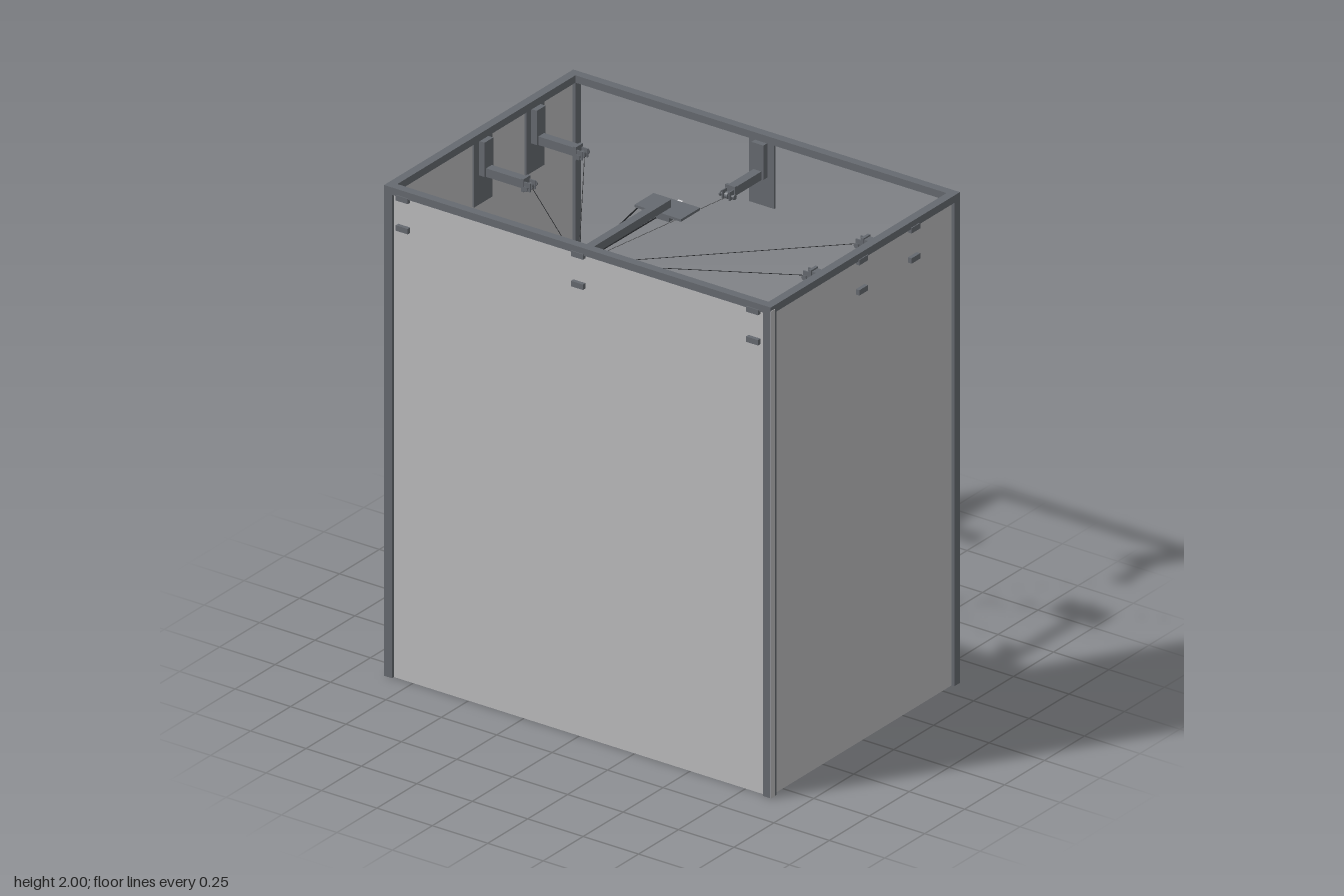
import * as THREE from 'three';

const mat = (name, color) => {
  const m = new THREE.MeshStandardMaterial({ color });
  m.name = name;
  return m;
};

export function createModel() {
  const frameMat = mat('frame grey', 0x666a70);
  const panelMat = mat('panel grey', 0xbcbcbe);
  const woodMat = mat('table brown', 0x958573);
  const bodyMat = mat('monitor dark', 0x484c52);
  const screenMat = mat('screen blue', 0x41526a);
  const whiteMat = mat('light fitting', 0xd8d8da);
  const cableMat = mat('cable black', 0x26282b);

  const model = new THREE.Group();
  model.name = 'workBooth';

  const add = (parent, name, geo, material, x = 0, y = 0, z = 0) => {
    const mesh = new THREE.Mesh(geo, material);
    mesh.name = name;
    mesh.position.set(x, y, z);
    parent.add(mesh);
    return mesh;
  };
  // Box given by its limits on each axis
  const box = (parent, name, material, [x0, x1], [y0, y1], [z0, z1]) =>
    add(parent, name, new THREE.BoxGeometry(x1 - x0, y1 - y0, z1 - z0), material,
      (x0 + x1) / 2, (y0 + y1) / 2, (z0 + z1) / 2);
  // Thin straight cable between two points
  const rod = (parent, name, a, b, r, material, sides = 6) => {
    const dir = b.clone().sub(a);
    const mesh = add(parent, name, new THREE.CylinderGeometry(r, r, dir.length(), sides), material);
    mesh.position.copy(a).add(b).multiplyScalar(0.5);
    mesh.quaternion.setFromUnitVectors(new THREE.Vector3(0, 1, 0), dir.normalize());
    return mesh;
  };

  // Frame: corner posts and top beams
  const W = 0.872, D = 0.592, T = 0.035, H = 2, B = 0.03;
  for (const sx of [-1, 1]) {
    for (const sz of [-1, 1])
      add(model, 'cornerPost', new THREE.BoxGeometry(T, H - B, T), frameMat,
        sx * (W - T / 2), (H - B) / 2, sz * (D - T / 2));
    add(model, 'sideBeam', new THREE.BoxGeometry(T, B, 2 * D), frameMat, sx * (W - T / 2), H - B / 2, 0);
    add(model, 'endBeam', new THREE.BoxGeometry(2 * (W - T), B, T), frameMat, 0, H - B / 2, sx * (D - T / 2));
  }

  // Walls on three sides, back left open
  const wx = W - T / 2, wz = D - T / 2;
  for (const sx of [-1, 1])
    add(model, 'sidePanel', new THREE.BoxGeometry(0.01, H - B, 2 * (D - T)), panelMat, sx * wx, (H - B) / 2, 0);
  add(model, 'frontPanel', new THREE.BoxGeometry(2 * (W - T), H - B, 0.01), panelMat, 0, (H - B) / 2, wz);
  box(model, 'cornerStrip', panelMat, [W, W + 0.002], [0, 1.985], [0.567, D]);

  // Table
  const table = new THREE.Group();
  table.name = 'table';
  model.add(table);
  box(table, 'tableTop', woodMat, [-0.81, 0.81], [0.75, 0.78], [-0.175, 0.555]);
  for (const x of [-0.755, 0.755])
    for (const z of [-0.1, 0.49])
      add(table, 'tableLeg', new THREE.BoxGeometry(0.045, 0.75, 0.045), frameMat, x, 0.375, z);

  // Monitor, screen towards the open back
  const monitor = new THREE.Group();
  monitor.name = 'monitor';
  model.add(monitor);
  box(monitor, 'monitorBody', bodyMat, [-0.322, 0.322], [0.81, 1.185], [0.364, 0.39]);
  box(monitor, 'screen', screenMat, [-0.318, 0.318], [0.814, 1.181], [0.36, 0.364]);
  for (const x of [-0.15, 0.15])
    box(monitor, 'monitorFoot', bodyMat, [x - 0.03, x + 0.03], [0.78, 0.81], [0.366, 0.388]);

  // Cable mounts: [x, z, turn], each built facing +z and turned inward
  const mounts = [
    [0, -wz, 0],
    [-0.79, wz, Math.PI], [0, wz, Math.PI], [0.79, wz, Math.PI],
    [-wx, -0.312, Math.PI / 2], [-wx, 0.015, Math.PI / 2],
    [wx, -0.312, -Math.PI / 2], [wx, 0.015, -Math.PI / 2],
  ];
  const hub = new THREE.Vector3(-0.4, 1.59, 0.03);
  for (const [x, z, turn] of mounts) {
    const m = new THREE.Group();
    m.name = 'cableMount';
    m.position.set(x, 0, z);
    m.rotation.y = turn;
    model.add(m);
    box(m, 'mountPlate', frameMat, [-0.057, 0.057], [1.71, 1.97], [0.006, 0.014]);
    box(m, 'mountFlange', frameMat, [-0.027, 0.027], [1.83, 1.97], [0.014, 0.04]);
    for (const y of [1.842, 1.965])
      box(m, 'clampTab', frameMat, [-0.027, 0.027], [y - 0.011, y + 0.011], [-0.021, 0.014]);
    if (turn === 0) box(m, 'clampBack', frameMat, [-0.027, 0.027], [1.9, 1.965], [-0.022, -0.018]);
    box(m, 'arm', frameMat, [-0.018, 0.018], [1.827, 1.862], [0.04, 0.21]);
    box(m, 'armHead', frameMat, [-0.022, 0.022], [1.815, 1.868], [0.2, 0.212]);
    for (const s of [-1, 1])
      add(m, 'pulleyCheek', new THREE.BoxGeometry(0.005, 0.035, 0.03), frameMat, s * 0.016, 1.838, 0.224);
    for (const [name, r, len] of [['axle', 0.005, 0.066], ['pulley', 0.014, 0.012]])
      add(m, name, new THREE.CylinderGeometry(r, r, len, 16), frameMat, 0, 1.835, 0.226).rotation.z = Math.PI / 2;
    for (const s of [-1, 1])
      add(m, 'axleNut', new THREE.CylinderGeometry(0.011, 0.011, 0.005, 6), frameMat,
        s * 0.031, 1.835, 0.226).rotation.z = Math.PI / 2;

    const tip = new THREE.Vector3(0, 1.83, 0.235)
      .applyAxisAngle(new THREE.Vector3(0, 1, 0), turn).add(new THREE.Vector3(x, 0, z));
    rod(model, 'cable', hub, tip, 0.0013, cableMat, 5);
  }

  // Overhead arm with control plate
  const overhead = new THREE.Group();
  overhead.name = 'overheadArm';
  model.add(overhead);
  box(overhead, 'overheadBeam', frameMat, [-0.017, 0.017], [1.94, 1.972], [0.03, 0.56]);
  box(overhead, 'controlPlate', frameMat, [-0.105, 0.105], [1.93, 1.94], [-0.03, 0.09]);
  box(overhead, 'controlBox', frameMat, [-0.03, 0.03], [1.895, 1.93], [0, 0.06]);
  box(overhead, 'connector', whiteMat, [-0.011, 0.011], [1.91, 1.93], [-0.056, -0.03]);

  // Hoses from the control plate to the hanging tool
  for (const [x, y, z] of [[0, 1.92, -0.043], [-0.1, 1.925, 0.07]])
    rod(model, 'hose', hub, new THREE.Vector3(x, y, z), 0.003, cableMat);

  // Hanging tool: flange, neck, light joints and ring
  const tool = new THREE.Group();
  tool.name = 'hangingTool';
  tool.position.set(hub.x, 0, hub.z);
  model.add(tool);
  const drum = (name, r, y0, y1, material) =>
    add(tool, name, new THREE.CylinderGeometry(r, r, y1 - y0, 28), material, 0, (y0 + y1) / 2, 0);
  drum('toolCap', 0.018, 1.6, 1.635, whiteMat);
  drum('toolFlange', 0.048, 1.58, 1.6, frameMat);
  drum('toolBody', 0.03, 1.5, 1.58, frameMat);
  drum('toolNeck', 0.02, 1.45, 1.5, whiteMat);
  drum('toolCollar', 0.028, 1.43, 1.45, frameMat);
  drum('toolWrist', 0.016, 1.38, 1.43, whiteMat);
  add(tool, 'toolBall', new THREE.SphereGeometry(0.026, 20, 14), whiteMat, 0, 1.345, 0);
  add(tool, 'toolRing', new THREE.TorusGeometry(0.034, 0.006, 8, 28), whiteMat, 0, 1.345, 0);

  return model;
}
